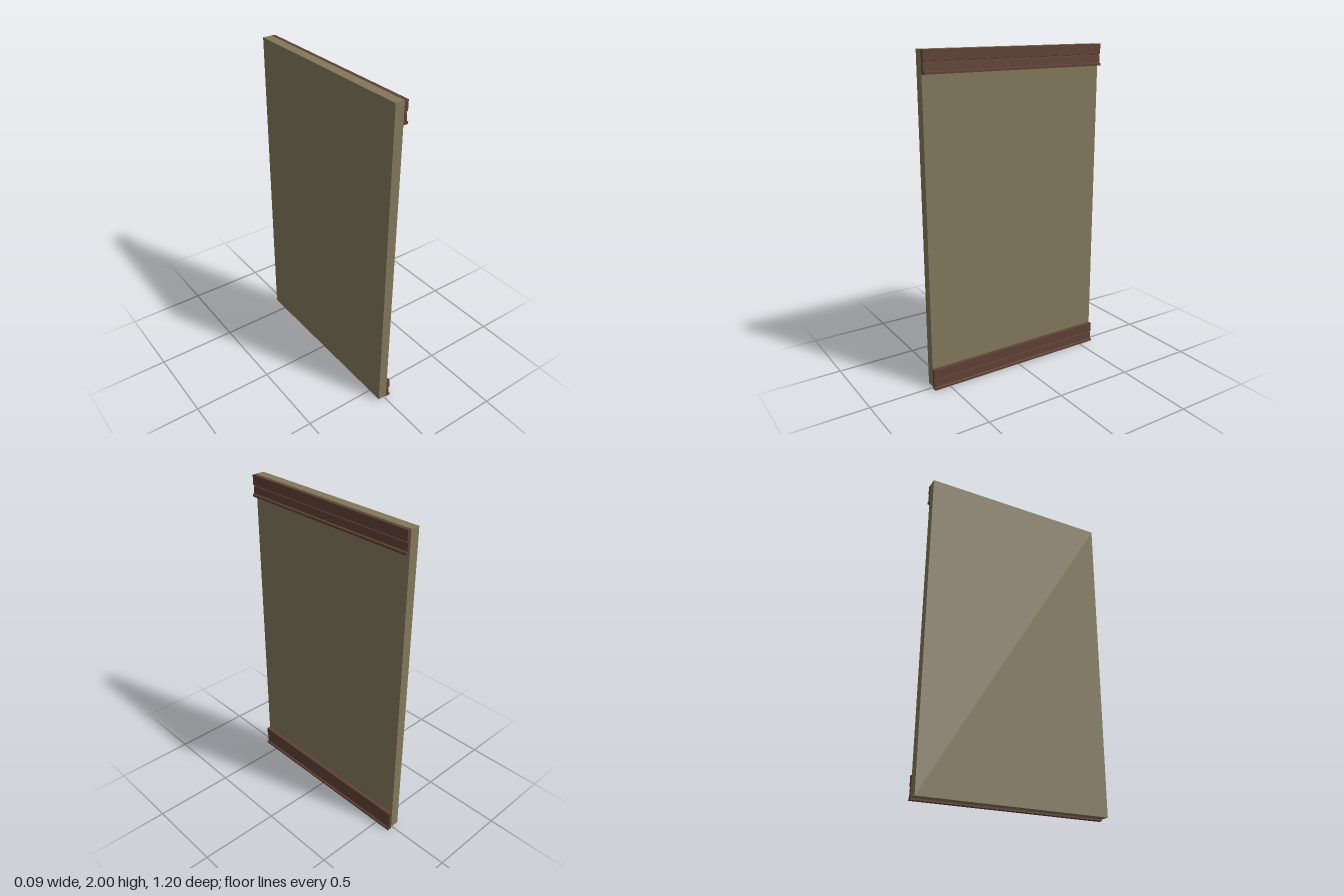
import * as THREE from 'three';

export function createModel() {
  const group = new THREE.Group();
  const plaster = new THREE.MeshStandardMaterial({ name: 'olive plaster', color: 0x82775b });
  const wood = new THREE.MeshStandardMaterial({ name: 'brown wood', color: 0x5f4135 });
  const depth = 1.2;

  // Wall slab
  const wall = new THREE.Mesh(new THREE.BoxGeometry(0.058, 1.99, depth), plaster);
  wall.name = 'wallPanel';
  wall.position.set(-0.016, 1.005, 0);
  group.add(wall);

  // Moulding cross-section: fascia, narrow groove, recessed band, projecting lip
  const profile = new THREE.Shape([
    [0.013, 0], [0.043, 0], [0.043, 0.013], [0.033, 0.017], [0.031, 0.062],
    [0.026, 0.064], [0.026, 0.068], [0.037, 0.07], [0.037, 0.13], [0.013, 0.13],
  ].map(([x, y]) => new THREE.Vector2(x, y)));
  const trimGeometry = new THREE.ExtrudeGeometry(profile, { depth, bevelEnabled: false });
  trimGeometry.translate(0, 0, -depth / 2);

  // The same moulding runs along the bottom and the top
  for (const [name, y] of [['baseboard', 0], ['crownMoulding', 1.87]]) {
    const trim = new THREE.Mesh(trimGeometry, wood);
    trim.name = name;
    trim.position.y = y;
    group.add(trim);
  }
  return group;
}
